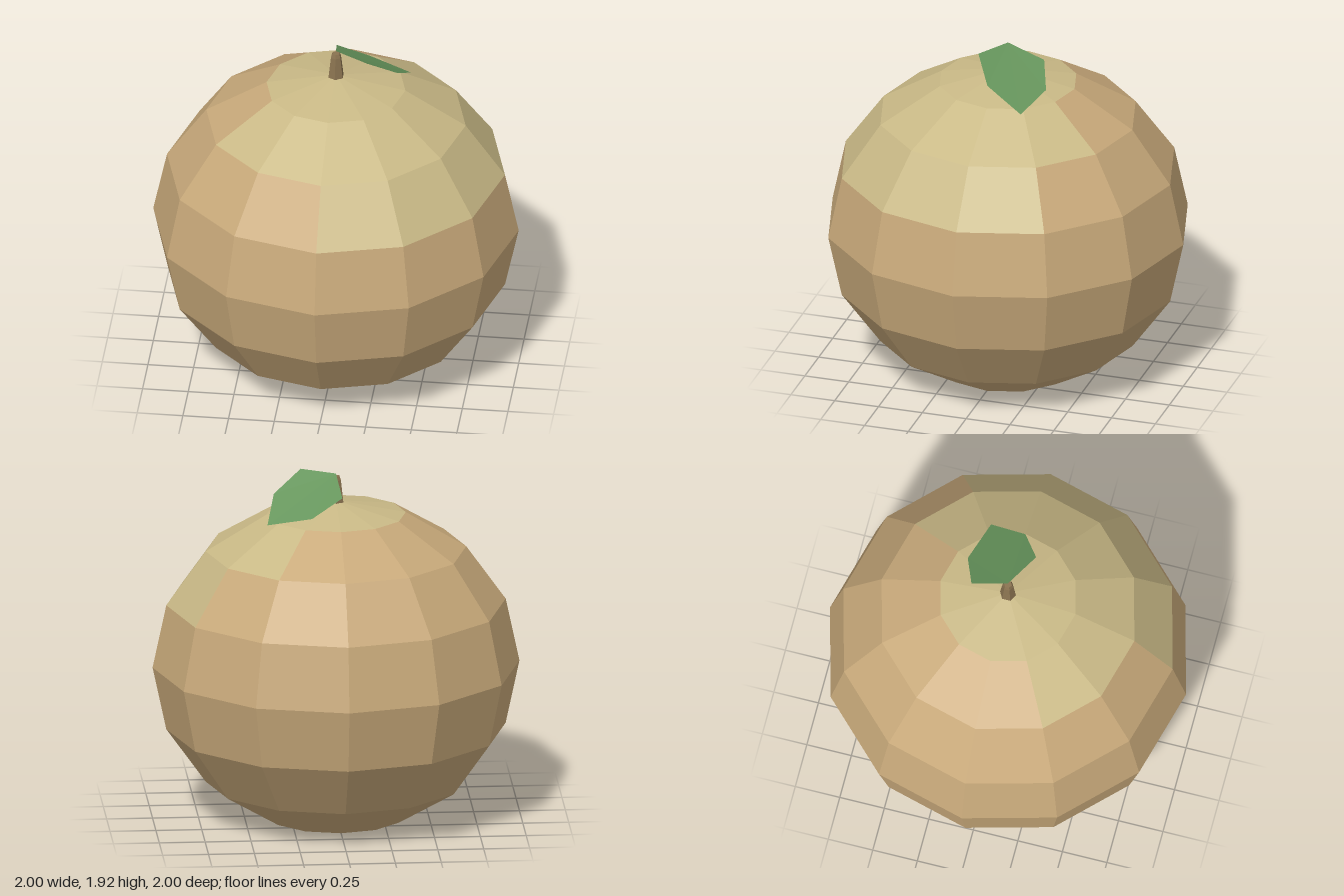
import * as THREE from 'three';

const SIDES = 12;
const STEP = (Math.PI * 2) / SIDES;

// body profile from the base centre to the top: [radius, height]
const PROFILE = [
  [0, 0], [0.38, 0], [0.71, 0.2], [0.925, 0.5], [1, 0.85],
  [0.925, 1.2], [0.71, 1.5], [0.38, 1.7], [0, 1.775],
];

export function createModel() {
  const model = new THREE.Group();
  const paint = (color) => new THREE.MeshStandardMaterial({ color, flatShading: true, side: THREE.DoubleSide });
  const skin = paint(0xc8a97a);
  const blush = paint(0xc9b986);
  const bark = paint(0x8a7350);
  const green = paint(0x66955c);

  const add = (name, geometry, material) => {
    const mesh = new THREE.Mesh(geometry, material);
    mesh.name = name;
    model.add(mesh);
  };

  // a run of facets between two profile points, starting at a given sector
  const band = (name, from, to, firstSector, sectors, material) => {
    const points = PROFILE.slice(from, to + 1).map(([r, y]) => new THREE.Vector2(r, y));
    add(name, new THREE.LatheGeometry(points, sectors, firstSector * STEP, sectors * STEP), material);
  };

  // fruit body, with a paler patch spreading down from the top
  band('lowerBody', 0, 5, 0, 12, skin);
  band('shoulderPale', 5, 6, 0, 4, blush);
  band('shoulder', 5, 6, 4, 8, skin);
  band('upperBodyPale', 6, 7, -2, 7, blush);
  band('upperBody', 6, 7, 5, 5, skin);
  band('crown', 7, 8, 0, 12, blush);

  // short tapered stem
  const stem = [[0.045, 1.765], [0.03, 1.89], [0.022, 1.912], [0, 1.912]];
  add('stem', new THREE.LatheGeometry(stem.map(([r, y]) => new THREE.Vector2(r, y)), 6), bark);

  // flat six-cornered leaf, tilted down away from the stem
  const outline = [
    0, 1.925, 0, 0.185, 1.925, 0.11, 0.338, 1.815, 0.01,
    0.388, 1.695, -0.196, 0.15, 1.745, -0.265, -0.02, 1.84, -0.2,
  ];
  const leaf = new THREE.BufferGeometry();
  leaf.setAttribute('position', new THREE.Float32BufferAttribute(outline, 3));
  leaf.setIndex([0, 1, 2, 0, 2, 3, 0, 3, 4, 0, 4, 5]);
  leaf.computeVertexNormals();
  add('leaf', leaf, green);

  return model;
}
